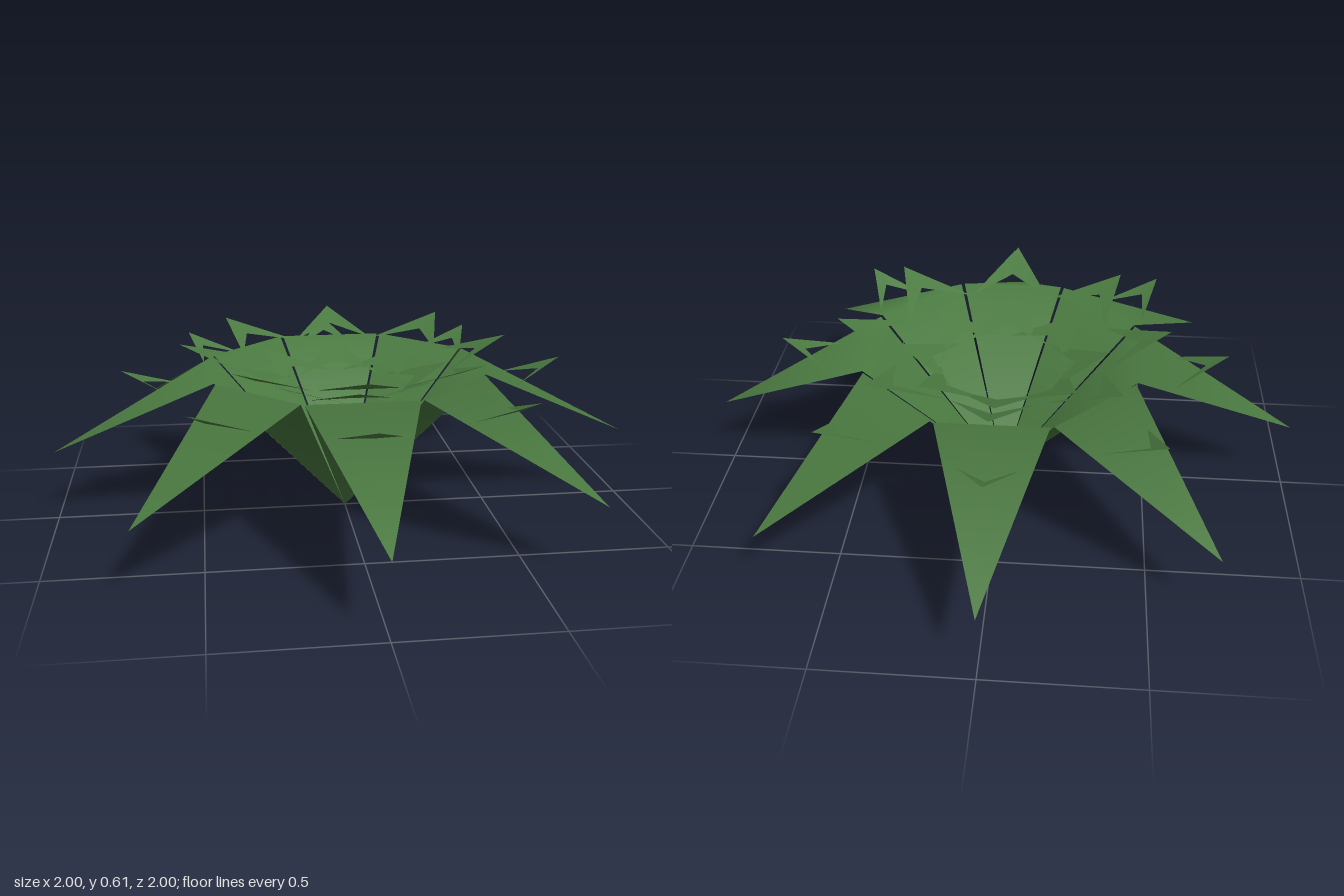
import * as THREE from 'three';

const leafGreen = new THREE.MeshStandardMaterial({ color: 0x4b7a41, side: THREE.DoubleSide });
leafGreen.name = 'leafGreen';

// Small folded sheet from a few corners, with smooth shading over the fold
function sheet(points, faces) {
  const geometry = new THREE.BufferGeometry();
  geometry.setAttribute('position', new THREE.Float32BufferAttribute(points.flat(), 3));
  geometry.setIndex(faces.flat());
  geometry.computeVertexNormals();
  return geometry;
}

// Leaf: rises from the root to a wide fold, then droops to a point
const leafGeometry = sheet(
  [[0, 0, 0], [0.18, 0.515, 0.45], [-0.18, 0.515, 0.45], [0, 0.24, 1]],
  [[0, 2, 1], [2, 3, 1]]
);

// Chevron leaflet: a raised apex, a notch behind it and two swept wings
function chevron({ apex, notch, wing }) {
  return sheet(
    [[0, notch[1], notch[0]], [0, apex[1], apex[0]], [wing[2], wing[1], wing[0]], [-wing[2], wing[1], wing[0]]],
    [[0, 1, 2], [0, 3, 1]]
  );
}

// Each point is radius, height and, for the wings, half width
const leaflets = [
  { name: 'outerLeaflet', apex: [0.76, 0.52], notch: [0.685, 0.48], wing: [0.58, 0.447, 0.1] },
  { name: 'middleLeaflet', apex: [0.56, 0.605], notch: [0.455, 0.56], wing: [0.345, 0.528, 0.137] },
  { name: 'innerLeaflet', apex: [0.36, 0.515], notch: [0.245, 0.47], wing: [0.16, 0.44, 0.142] },
].map((spec) => ({ name: spec.name, geometry: chevron(spec) }));

export function createModel() {
  const plant = new THREE.Group();
  plant.name = 'rosettePlant';

  // Eight identical fronds around the root
  for (let i = 0; i < 8; i++) {
    const frond = new THREE.Group();
    frond.name = `frond${i + 1}`;
    frond.rotation.y = (i * Math.PI) / 4;
    for (const part of [{ name: 'leaf', geometry: leafGeometry }, ...leaflets]) {
      const mesh = new THREE.Mesh(part.geometry, leafGreen);
      mesh.name = part.name;
      frond.add(mesh);
    }
    plant.add(frond);
  }
  return plant;
}
